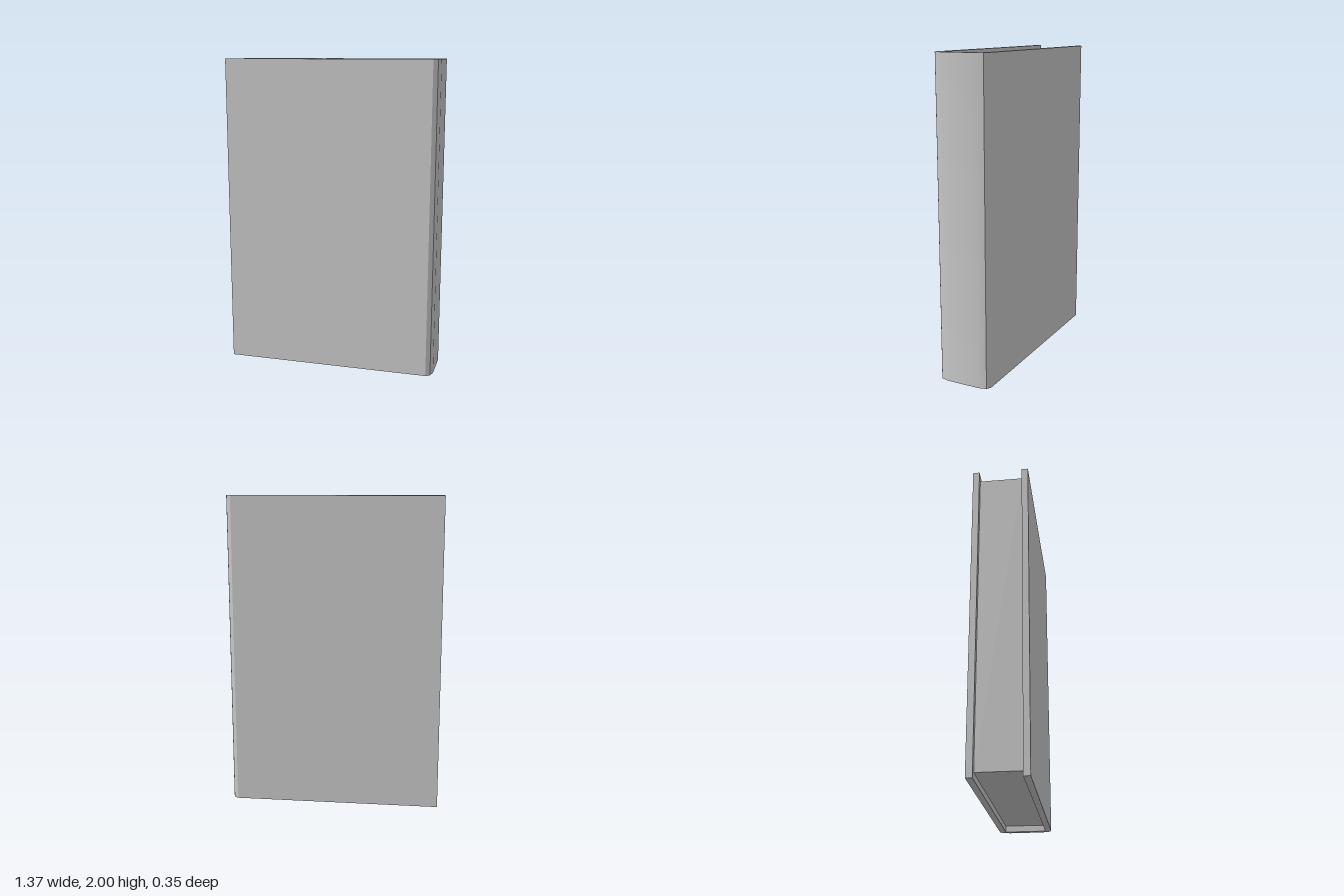
import * as THREE from 'three';
import { toCreasedNormals } from 'three/addons/utils/BufferGeometryUtils.js';

export function createModel() {
  const book = new THREE.Group();
  book.name = 'book';
  const material = new THREE.MeshStandardMaterial({ color: 0xcccccc });

  const height = 2, halfWidth = 0.685, halfDepth = 0.175, board = 0.04;
  const inX = halfWidth - board, inZ = halfDepth - board;

  // Cover: two boards joined by a rounded spine on the left (+x)
  const outer = [[-halfWidth, halfDepth], [inX, halfDepth], [0.672, 0.157], [halfWidth, 0.11]];
  const inner = [[-halfWidth, -inZ], [inX, -inZ]];
  const mirror = (points) => points.map(([x, z]) => [x, -z]).reverse();
  const outline = [...outer, ...mirror(outer), ...inner, ...mirror(inner)];
  const shape = new THREE.Shape(outline.map(([x, z]) => new THREE.Vector2(x, z)));
  const coverGeometry = new THREE.ExtrudeGeometry(shape, { depth: height, bevelEnabled: false });
  coverGeometry.rotateX(-Math.PI / 2);
  const cover = new THREE.Mesh(toCreasedNormals(coverGeometry, 0.55), material);
  cover.name = 'cover';
  book.add(cover);

  // Page block, set back from the cover's edges
  const pages = new THREE.Mesh(
    new THREE.BoxGeometry(2 * inX, height - 2 * board, 2 * inZ), material);
  pages.name = 'pages';
  pages.position.y = height / 2;
  book.add(pages);

  return book;
}
